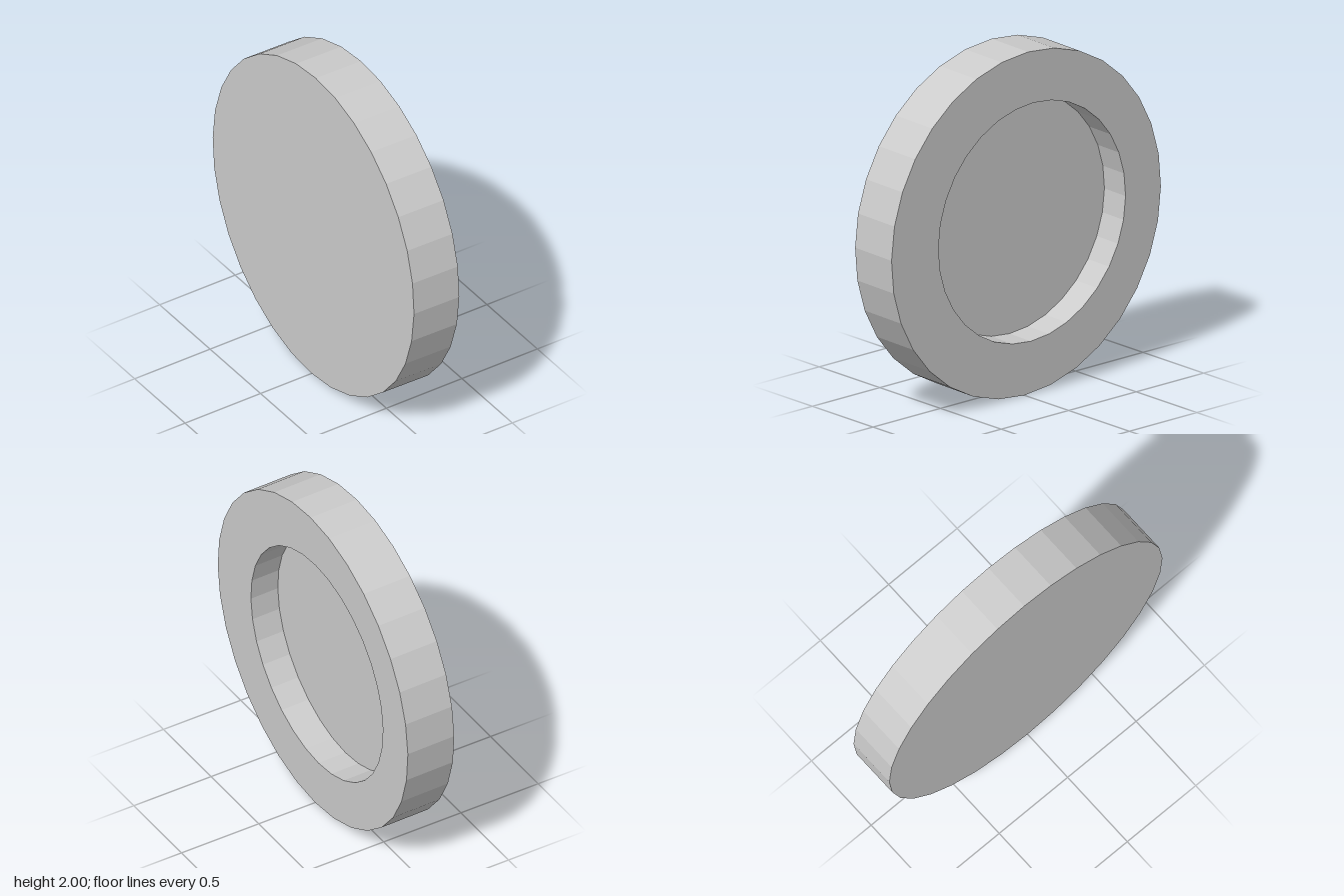
import * as THREE from 'three';

const SIDES = 32, RADIUS = 0.9977, THICKNESS = 0.3;
const RECESS_RADIUS = 0.693, RECESS_DEPTH = 0.174, RECESS_OFFSET = 0.043;

// Points of a regular polygon with a corner at the top
function polygon(radius, cx = 0) {
  return Array.from({ length: SIDES }, (_, i) => {
    const a = (i / SIDES) * Math.PI * 2;
    return new THREE.Vector2(cx + radius * Math.cos(a), radius * Math.sin(a));
  });
}

export function createModel() {
  const material = new THREE.MeshStandardMaterial({ color: 0xcccccc, flatShading: true });
  const disc = new THREE.Group();
  disc.name = 'disc';

  function addSlab(name, shape, depth, z) {
    const geometry = new THREE.ExtrudeGeometry(shape, { depth, bevelEnabled: false });
    geometry.translate(0, 0, z);
    geometry.rotateY(Math.PI / 2); // thickness runs along x, recess opens to +x
    const mesh = new THREE.Mesh(geometry, material);
    mesh.name = name;
    disc.add(mesh);
  }

  // Solid back plate, whose inner face is the recess floor
  const backDepth = THICKNESS - RECESS_DEPTH;
  addSlab('backPlate', new THREE.Shape(polygon(RADIUS)), backDepth, -THICKNESS / 2);

  // Rim with the slightly off-centre round recess
  const rim = new THREE.Shape(polygon(RADIUS));
  rim.holes.push(new THREE.Path(polygon(RECESS_RADIUS, RECESS_OFFSET).reverse()));
  addSlab('rim', rim, RECESS_DEPTH, backDepth - THICKNESS / 2);

  // The disc leans a little towards +x
  disc.rotation.z = -0.0152;
  disc.position.y = 1;

  const model = new THREE.Group();
  model.name = 'recessedDisc';
  model.add(disc);
  return model;
}
